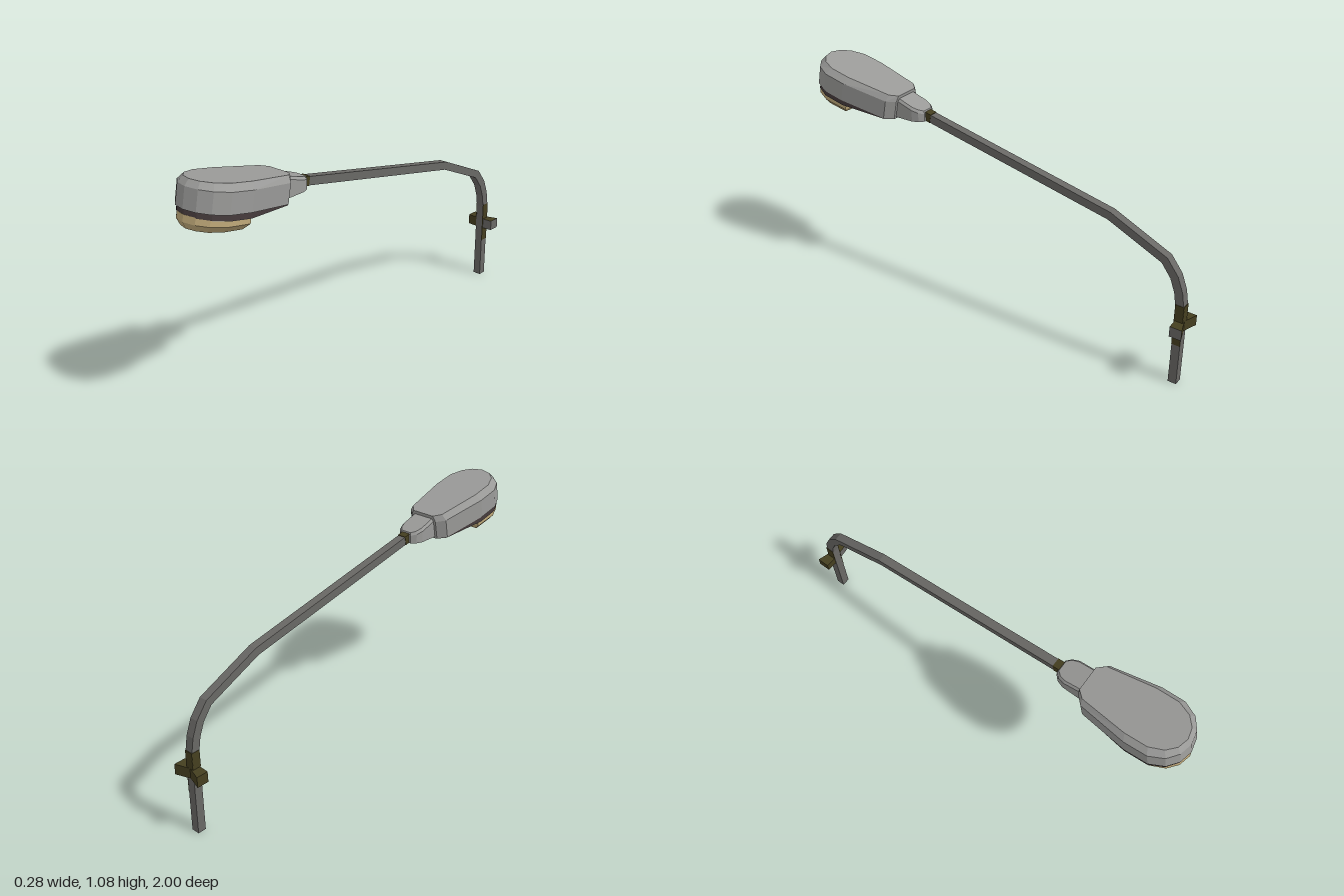
import * as THREE from 'three';

const mat = (name, color) => {
  const m = new THREE.MeshStandardMaterial({ color });
  m.name = name;
  return m;
};

// Flat-faced solid through convex rings of [x, y, z], ordered bottom to top.
// Faces come in the order: sides, bottom cap, top cap.
function loft(rings) {
  const pos = [];
  const tri = (a, b, c) => pos.push(...a, ...b, ...c);
  const n = rings[0].length;
  for (let r = 0; r < rings.length - 1; r++) {
    const b = rings[r], t = rings[r + 1];
    for (let i = 0; i < n; i++) {
      const j = (i + 1) % n;
      tri(b[i], b[j], t[j]);
      tri(b[i], t[j], t[i]);
    }
  }
  const bottom = rings[0], top = rings[rings.length - 1];
  for (let i = 1; i < n - 1; i++) tri(bottom[0], bottom[i + 1], bottom[i]);
  for (let i = 1; i < n - 1; i++) tri(top[0], top[i], top[i + 1]);
  const g = new THREE.BufferGeometry();
  g.setAttribute('position', new THREE.Float32BufferAttribute(pos, 3));
  g.computeVertexNormals();
  return g;
}

// Mirrors a half outline of [z, x], listed front to back
const mirror = (half) => [
  ...half,
  ...half.filter((p) => p[1] > 0).reverse().map(([z, x]) => [z, -x]),
];

// Places an outline at a height, which may vary with z
const ring = (outline, y, sx = 1, sz = 1, z0 = 0) =>
  outline.map(([z, x]) => [x * sx, typeof y === 'function' ? y(z) : y, z0 + (z - z0) * sz]);

export function createModel() {
  const steel = mat('pole grey', 0x696865);
  const shell = mat('housing grey', 0x9a9a98);
  const rust = mat('dark olive', 0x453f20);
  const brown = mat('dark brown', 0x463b3c);
  const cream = mat('lens cream', 0xbfa979);

  const model = new THREE.Group();
  model.name = 'streetLamp';
  const add = (parent, name, geometry, material) => {
    const mesh = new THREE.Mesh(geometry, material);
    mesh.name = name;
    parent.add(mesh);
    return mesh;
  };
  const box = (name, w, h, d, x, y, z, m) =>
    add(model, name, new THREE.BoxGeometry(w, h, d), m).position.set(x, y, z);

  // Square pole bending into the arm
  const path = [[-0.957, 0], [-0.957, 0.39], [-0.945, 0.46], [-0.92, 0.525],
    [-0.87, 0.59], [-0.6, 0.71], [0.4, 0.912]];
  const half = 0.0195;
  const direction = (a, b) => new THREE.Vector2(b[0] - a[0], b[1] - a[1]).normalize();
  const poleRings = path.map((p, i) => {
    const t = new THREE.Vector2();
    if (i > 0) t.add(direction(path[i - 1], p));
    if (i < path.length - 1) t.add(direction(p, path[i + 1]));
    t.normalize();
    return [[1, -1], [1, 1], [-1, 1], [-1, -1]].map(([n, x]) =>
      [x * half, p[1] - t.x * n * half, p[0] + t.y * n * half]);
  });
  add(model, 'pole', loft(poleRings), steel);

  // Weathered faces around the bracket
  box('leftStain', 0.003, 0.2, 0.04, 0.0195, 0.3, -0.957, rust);
  box('rightStain', 0.003, 0.08, 0.04, -0.0195, 0.36, -0.957, rust);
  box('backStain', 0.04, 0.08, 0.003, 0, 0.36, -0.9765, rust);

  // Mounting bracket with a notched back
  const leftHalf = [[-0.94, 0], [-0.944, 0.07], [-1, 0.07], [-0.977, 0]];
  const rightHalf = [[-0.944, -0.07], [-0.94, 0], [-0.977, 0], [-1, -0.07]];
  const leftBracket = loft([ring(leftHalf, 0.27), ring(leftHalf, 0.32)]);
  leftBracket.addGroup(0, 12, 0);
  leftBracket.addGroup(12, 24, 1);
  add(model, 'bracketLeft', leftBracket, [steel, rust]);
  add(model, 'bracketRight', loft([ring(rightHalf, 0.27), ring(rightHalf, 0.32)]), rust);

  // Collar where the arm enters the neck
  const collar = add(model, 'collar', new THREE.BoxGeometry(0.042, 0.042, 0.035), rust);
  collar.position.set(0, 0.905, 0.362);
  collar.rotation.x = -0.2;

  // Tapered neck
  const neck = mirror([[0.53, 0.058], [0.42, 0.06], [0.39, 0.05], [0.37, 0.03]]);
  add(model, 'neck', loft([
    ring(neck, (z) => 0.885 - (z - 0.37) * 0.03),
    ring(neck, (z) => 0.922 + (z - 0.37) * 0.3),
    ring(neck, (z) => 0.935 + (z - 0.37) * 0.3, 0.85, 0.97, 0.53),
  ]), shell);

  // Tilted lamp head
  const head = new THREE.Group();
  head.name = 'lampHead';
  head.position.set(0, 0.99, 0.5);
  head.rotation.x = -0.197;
  model.add(head);

  const outline = mirror([[0.486, 0], [0.472, 0.06], [0.435, 0.107], [0.37, 0.138],
    [0.26, 0.14], [0.03, 0.105], [-0.005, 0.07]]);
  add(head, 'housing', loft([
    ring(outline, -0.117),
    ring(outline, -0.028),
    ring(outline, 0, 0.82, 0.965),
  ]), shell);

  // Skirt deepening towards the lens, with a grey underside
  const depth = (z) => -0.117 - 0.024 * Math.min(1, Math.max(0, z / 0.24));
  add(head, 'skirt', loft([ring(outline, depth, 0.97, 0.985), ring(outline, -0.113, 0.97, 0.985)]), brown);
  add(head, 'underside', loft([
    ring(outline, (z) => depth(z) - 0.002, 0.96, 0.975),
    ring(outline, depth, 0.96, 0.975),
  ]), shell);

  // Lens with a bevelled lower edge
  const lens = mirror([[0.48, 0], [0.466, 0.055], [0.43, 0.098], [0.365, 0.125], [0.245, 0.122]]);
  add(head, 'lens', loft([
    ring(lens, -0.195, 0.8, 0.85, 0.36),
    ring(lens, -0.168),
    ring(lens, -0.138),
  ]), cream);

  return model;
}
